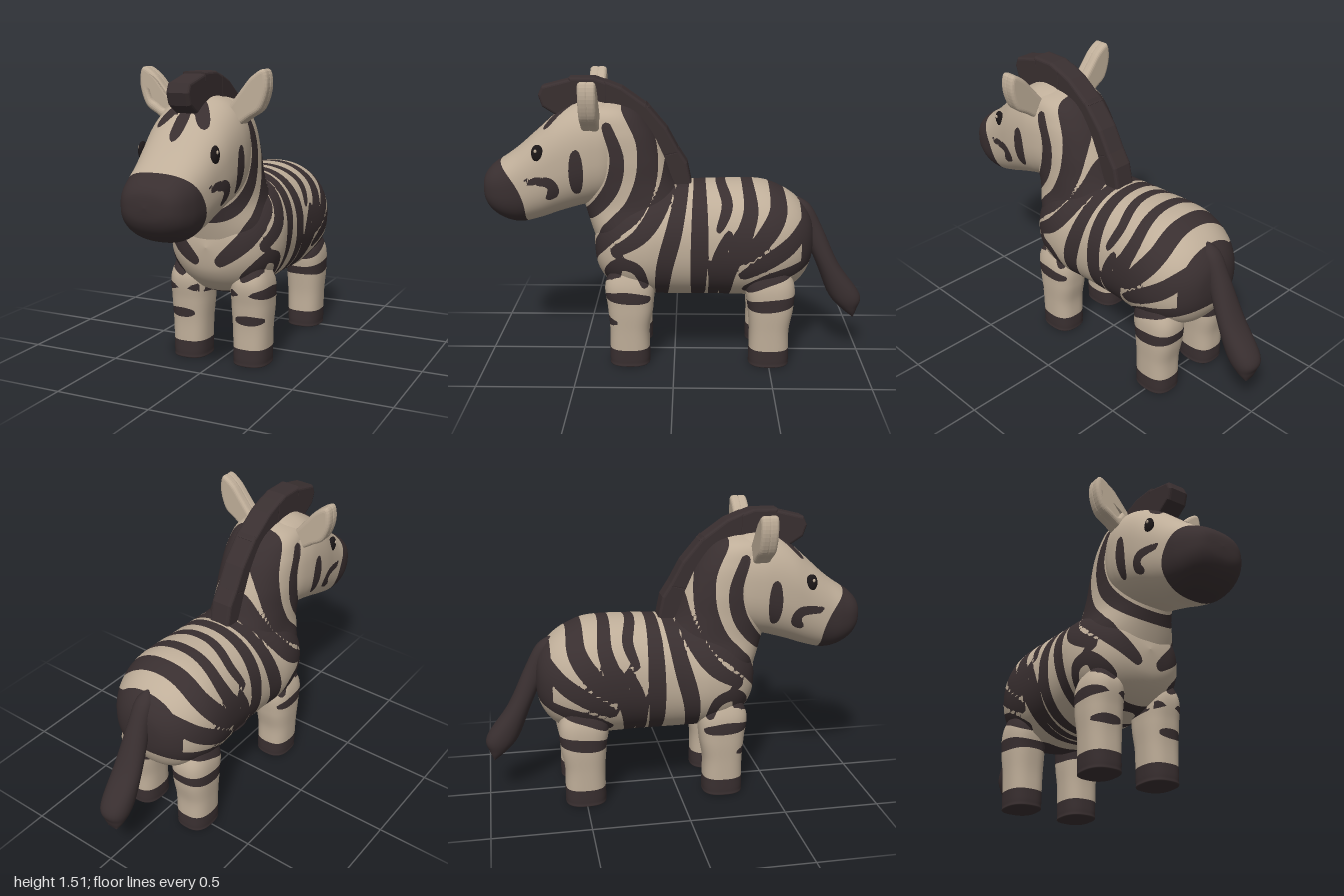
import * as THREE from 'three';

const mat = (name, color) => Object.assign(new THREE.MeshStandardMaterial({ color }), { name });
const coat = mat('beige coat', 0xbfae99);
const dark = mat('dark stripe', 0x392f30);
const black = mat('eye black', 0x1c1718);

// uniform Catmull-Rom through rows of numbers, u in 0..1
function spline(rows, u) {
  const f = Math.min(u, 0.99999) * (rows.length - 1), i = Math.floor(f), t = f - i;
  const at = k => rows[Math.max(0, Math.min(rows.length - 1, k))];
  return rows[i].map((_, c) => {
    const a = at(i - 1)[c], b = at(i)[c], d = at(i + 1)[c], e = at(i + 2)[c];
    return b + 0.5 * t * (d - a + t * (2 * a - 5 * b + 4 * d - e + t * (3 * (b - d) + e - a)));
  });
}

// skin over superellipse rings [s, low, high, half width]; s runs along z, or along y when upright
function loft(rings, { upright = false, x = 0, n = 2.2, steps = 100, sides = 72 } = {}) {
  const pos = [], idx = [];
  for (let i = 0; i <= steps; i++) {
    const [s, lo, hi, rx] = spline(rings, i / steps);
    for (let j = 0; j < sides; j++) {
      const a = (j / sides) * Math.PI * 2, c = Math.cos(a), d = Math.sin(a);
      const px = x + rx * Math.sign(c) * Math.abs(c) ** (2 / n);
      const pa = (lo + hi) / 2 + ((hi - lo) / 2) * Math.sign(d) * Math.abs(d) ** (2 / n);
      pos.push(px, ...(upright ? [s, pa] : [pa, s]));
      if (i === steps) continue;
      const k = (j + 1) % sides, p = i * sides + j, q = i * sides + k, r = p + sides, t = q + sides;
      idx.push(...(upright ? [p, r, q, q, r, t] : [p, q, r, q, t, r]));
    }
  }
  const g = new THREE.BufferGeometry();
  g.setAttribute('position', new THREE.Float32BufferAttribute(pos, 3));
  g.setIndex(idx);
  g.computeVertexNormals();
  return g;
}

// cut every triangle along field = 0 and give the positive side the dark material
function paint(g, field) {
  const P = g.attributes.position, N = g.attributes.normal, verts = [];
  for (let i = 0; i < P.count; i++) {
    const p = [P.getX(i), P.getY(i), P.getZ(i)];
    verts.push([...p, N.getX(i), N.getY(i), N.getZ(i), field(...p)]);
  }
  const out = [[], []];
  for (let t = 0; t < g.index.count; t += 3) {
    const tri = [0, 1, 2].map(k => verts[g.index.getX(t + k)]);
    [-1, 1].forEach((sign, m) => {
      const poly = [];
      tri.forEach((a, k) => {
        const b = tri[(k + 1) % 3];
        if (a[6] * sign > 0) poly.push(a);
        if (a[6] * b[6] < 0) poly.push(a.map((v, c) => v + (b[c] - v) * a[6] / (a[6] - b[6])));
      });
      for (let k = 2; k < poly.length; k++) out[m].push(poly[0], poly[k - 1], poly[k]);
    });
  }
  const all = out[0].concat(out[1]), r = new THREE.BufferGeometry();
  r.setAttribute('position', new THREE.Float32BufferAttribute(all.flatMap(v => v.slice(0, 3)), 3));
  r.setAttribute('normal', new THREE.Float32BufferAttribute(all.flatMap(v => v.slice(3, 6)), 3));
  r.addGroup(0, out[0].length, 0);
  r.addGroup(out[0].length, out[1].length, 1);
  return r;
}

// brush stroke with tapering ends
const stroke = (w, ...pts) => Array.from({ length: 21 }, (_, i) =>
  [...spline(pts, i / 20), w * (0.6 + 0.4 * Math.sin(Math.PI * i / 20))]);
function inStroke(s, u, v) {
  let best = -1;
  for (let i = 0; i < s.length - 1; i++) {
    const [ax, ay, aw] = s[i], [bx, by, bw] = s[i + 1], dx = bx - ax, dy = by - ay;
    const t = Math.max(0, Math.min(1, ((u - ax) * dx + (v - ay) * dy) / (dx * dx + dy * dy)));
    best = Math.max(best, aw + (bw - aw) * t - Math.hypot(u - ax - dx * t, v - ay - dy * t));
  }
  return best;
}

// stripes on the flanks, as (z, y)
const sideStrokes = [
  stroke(0.037, [0.495, 1.14], [0.495, 0.95]),
  stroke(0.028, [0.75, 0.99], [0.64, 0.99], [0.61, 0.94], [0.64, 0.91]),
  stroke(0.04, [0.34, 1.27], [0.29, 1.12], [0.31, 0.98], [0.38, 0.87], [0.48, 0.77]),
  stroke(0.055, [0.24, 1.36], [0.15, 1.2], [0.14, 1.02], [0.2, 0.86], [0.3, 0.76], [0.36, 0.69]),
  stroke(0.045, [0.02, 1.1], [0.04, 0.95], [0.1, 0.82], [0.18, 0.72], [0.3, 0.64]),
  stroke(0.045, [-0.05, 0.98], [0, 0.75], [0.05, 0.55], [0.07, 0.33]),
  stroke(0.045, [-0.13, 0.99], [-0.13, 0.65], [-0.12, 0.33]),
  stroke(0.028, [-0.22, 0.99], [-0.27, 0.88], [-0.23, 0.76]),
  stroke(0.033, [-0.28, 0.74], [-0.22, 0.58], [-0.2, 0.33]),
  stroke(0.042, [-0.37, 0.99], [-0.39, 0.85], [-0.34, 0.7], [-0.28, 0.53], [-0.26, 0.36]),
  stroke(0.05, [-0.52, 0.97], [-0.53, 0.84], [-0.45, 0.71], [-0.35, 0.61]),
  stroke(0.046, [-0.7, 0.8], [-0.61, 0.69], [-0.5, 0.61], [-0.36, 0.52]),
  stroke(0.034, [-0.73, 0.58], [-0.6, 0.53], [-0.48, 0.49], [-0.37, 0.43]),
  stroke(0.034, [-0.66, 0.37], [-0.5, 0.35], [-0.38, 0.34]),
  stroke(0.033, [0.33, 0.5], [0.27, 0.57], [0.19, 0.55], [0.15, 0.46]),
  stroke(0.032, [0.34, 0.39], [0.24, 0.39], [0.14, 0.38]),
];
// chest, leg and forehead stripes, as (|x|, y)
const chestStrokes = [
  stroke(0.045, [0.25, 0.8], [0.19, 0.67], [0.07, 0.56]),
  stroke(0.032, [0.29, 0.6], [0.24, 0.53], [0.17, 0.47]),
  stroke(0.026, [0.13, 0.25], [0.25, 0.25]),
];
const browStrokes = [
  stroke(0.026, [0.05, 1.35], [0.12, 1.26]),
  stroke(0.03, [0, 1.34], [0.005, 1.21]),
];
const most = (list, u, v) => Math.max(...list.map(s => inStroke(s, u, v)));

function stripes(x, y, z) {
  const ax = Math.abs(x);
  let f = most(sideStrokes, z, y);
  if (z > 0.3 && y < 0.74) f = Math.min(f, ax - 0.09);
  if (z > 0.27 && y < 0.85) f = Math.max(f, most(chestStrokes, ax, y));
  if (z > 0.5 && y > 1.15) f = Math.max(f, most(browStrokes, ax, y));
  const rump = Math.min(-0.655 - z, y - 0.55, 0.9 - y);
  return Math.max(f, rump) || 1e-6;
}
const muzzle = (x, y, z) => z - 0.77 - 2.3 * Math.max(0, y - 0.83) ** 2;

export function createModel() {
  const model = new THREE.Group();
  const add = (name, geo, material) => {
    const m = new THREE.Mesh(geo, material);
    m.name = name;
    model.add(m);
    return m;
  };

  add('torso', paint(loft([
    [-0.735, 0.65, 0.65, 0], [-0.715, 0.52, 0.77, 0.13], [-0.65, 0.42, 0.86, 0.22], [-0.55, 0.37, 0.925, 0.275],
    [-0.43, 0.345, 0.96, 0.292], [-0.2, 0.345, 0.96, 0.28], [0, 0.345, 0.95, 0.28], [0.14, 0.35, 0.93, 0.295],
    [0.25, 0.36, 0.9, 0.28], [0.34, 0.41, 0.84, 0.235], [0.405, 0.5, 0.76, 0.15], [0.43, 0.63, 0.63, 0],
  ], { steps: 120, sides: 80 }), stripes), [coat, dark]);

  add('neck', paint(loft([
    [0.45, 0.15, 0.15, 0], [0.5, 0, 0.37, 0.2], [0.6, -0.06, 0.4, 0.25], [0.72, -0.08, 0.44, 0.255], [0.85, -0.06, 0.48, 0.215],
    [0.97, 0, 0.52, 0.205], [1.1, 0.05, 0.54, 0.205], [1.24, 0.12, 0.54, 0.195], [1.34, 0.21, 0.5, 0.15], [1.385, 0.35, 0.35, 0],
  ], { upright: true }), stripes), [coat, dark]);

  add('head', paint(loft([
    [0.23, 1.12, 1.12, 0], [0.27, 0.96, 1.31, 0.15], [0.34, 0.88, 1.37, 0.205], [0.42, 0.85, 1.385, 0.225], [0.5, 0.83, 1.375, 0.228],
    [0.6, 0.8, 1.325, 0.222], [0.7, 0.765, 1.24, 0.207], [0.8, 0.742, 1.15, 0.193], [0.88, 0.757, 1.09, 0.181],
    [0.95, 0.8, 1.045, 0.152], [0.99, 0.86, 0.995, 0.1], [1, 0.93, 0.93, 0],
  ], { n: 2.5 }), (x, y, z) => Math.max(stripes(x, y, z), muzzle(x, y, z)) || 1e-6), [coat, dark]);

  add('tail', loft([
    [0.2, -0.97, -0.965, 0.03], [0.25, -0.99, -0.9, 0.06], [0.33, -1, -0.83, 0.08], [0.5, -0.88, -0.76, 0.075],
    [0.7, -0.785, -0.67, 0.055], [0.82, -0.72, -0.62, 0.045], [0.87, -0.65, -0.65, 0],
  ], { upright: true, steps: 40, sides: 24 }), dark);

  // mane blocks as (z, y) outlines
  [
    [[-0.09, 0.94], [-0.065, 1.06], [-0.02, 1.13], [0.08, 1.1], [0.04, 0.92]],
    [[-0.03, 1.11], [0.04, 1.24], [0.15, 1.37], [0.24, 1.3], [0.1, 1.08]],
    [[0.13, 1.35], [0.27, 1.45], [0.36, 1.485], [0.36, 1.33], [0.2, 1.25]],
    [[0.34, 1.475], [0.41, 1.5], [0.54, 1.5], [0.54, 1.32], [0.34, 1.32]],
    [[0.52, 1.495], [0.68, 1.455], [0.7, 1.41], [0.68, 1.35], [0.6, 1.3], [0.5, 1.33]],
  ].forEach((pts, i) => {
    const shape = new THREE.Shape(pts.map(([z, y]) => new THREE.Vector2(-z, y)));
    const g = new THREE.ExtrudeGeometry(shape, { depth: 0.084, bevelThickness: 0.018, bevelSize: 0.014, bevelOffset: -0.014, bevelSegments: 3 });
    add('maneBlock' + (i + 1), g.translate(0, 0, -0.042).rotateY(Math.PI / 2), dark);
  });

  for (const s of [1, -1]) {
    const side = s > 0 ? 'left' : 'right';

    // legs with dark hooves
    for (const [name, z] of [['FrontLeg', 0.235], ['HindLeg', -0.5]]) {
      const ring = (y, rx, rz, dz = 0) => [y, z + dz - rz, z + dz + rz, rx];
      add(side + name, paint(loft([
        ring(0, 0, 0), ring(0.001, 0.085, 0.095), ring(0.025, 0.093, 0.106), ring(0.1, 0.095, 0.105),
        ring(0.2, 0.098, 0.105), ring(0.32, 0.104, 0.12, -0.005), ring(0.45, 0.1, 0.125), ring(0.58, 0.05, 0.06),
      ], { upright: true, x: s * 0.172, n: 2.6, steps: 56, sides: 40 }),
      (x, y, zz) => Math.max(y > 0.2 ? stripes(x, y, zz) : -1, 0.0953 - y)), [coat, dark]);
    }

    // ears: solid back, raised rim, recessed lining with a dark edge
    const outline = [[0.12, 1.31], [0.2, 1.41], [0.26, 1.48], [0.325, 1.512], [0.342, 1.43], [0.31, 1.33], [0.25, 1.285], [0.17, 1.24]];
    const inset = k => outline.map(([x, y]) => new THREE.Vector2(s * (0.252 + (x - 0.252) * k), 1.393 + (y - 1.393) * k));
    const closed = pts => new THREE.SplineCurve([...pts, pts[0]]).getPoints(40).slice(0, -1);
    const bevel = { depth: 0.02, bevelThickness: 0.018, bevelSize: 0.02, bevelOffset: -0.02, bevelSegments: 4 };
    const ring = new THREE.Shape(closed(inset(1)));
    ring.holes.push(new THREE.Path(closed(inset(0.54))));
    add(side + 'EarRim', new THREE.ExtrudeGeometry(ring, bevel).translate(0, 0, 0.428), coat);
    add(side + 'EarBack', new THREE.ExtrudeGeometry(new THREE.Shape(closed(inset(1))), bevel).translate(0, 0, 0.393), coat);
    for (const [name, k, z, m] of [['EarEdge', 0.72, 0.433, dark], ['EarLining', 0.57, 0.437, coat]])
      add(side + name, new THREE.ShapeGeometry(new THREE.Shape(closed(inset(k)))).translate(0, 0, z), m);

    // eyes and nostrils
    const ball = (name, r, p, m) => add(side + name, new THREE.SphereGeometry(1, 20, 14).scale(...r).translate(s * p[0], p[1], p[2]), m);
    ball('Eye', [0.018, 0.045, 0.032], [0.19, 1.135, 0.69], black);
    ball('EyeGlint', [0.005, 0.009, 0.008], [0.206, 1.15, 0.698], coat);
    ball('Nostril', [0.022, 0.026, 0.012], [0.1, 0.937, 0.975], black);
  }
  return model;
}
